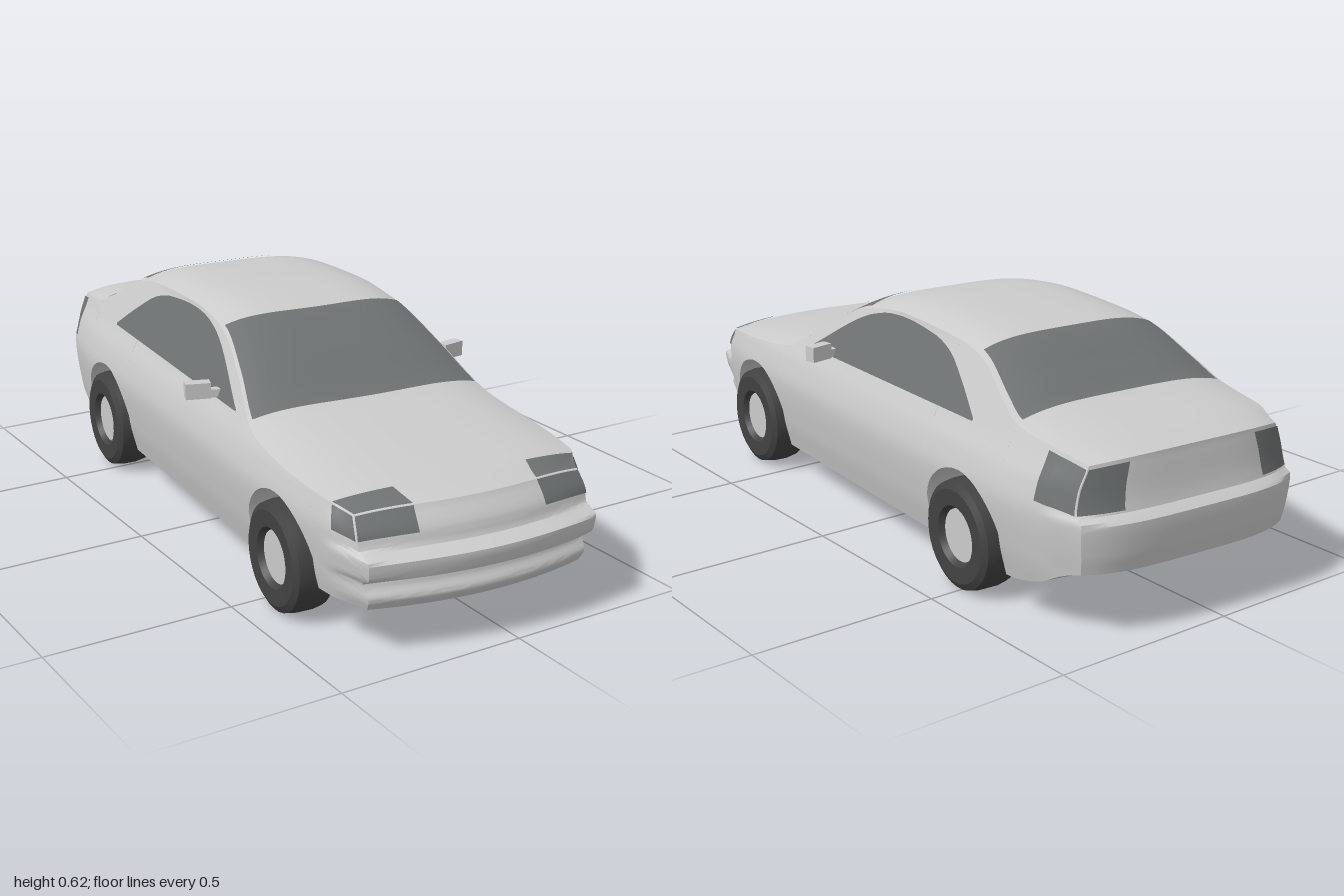
import * as THREE from 'three';
import { mergeGeometries, toCreasedNormals } from 'three/addons/utils/BufferGeometryUtils.js';

const { lerp, smoothstep } = THREE.MathUtils;
const paint = new THREE.MeshStandardMaterial({ color: 0xcccccc });
const glass = new THREE.MeshStandardMaterial({ color: 0x6e7272 });
const rubber = new THREE.MeshStandardMaterial({ color: 0x424242 });

// Smooth curve through [position, value] pairs, without overshoot
function curve(p) {
  const d = p.slice(1).map((q, i) => (q[1] - p[i][1]) / (q[0] - p[i][0]));
  const m = p.map((_, i) => {
    if (i === 0) return d[0];
    if (i === p.length - 1) return d[i - 1];
    return d[i - 1] * d[i] <= 0 ? 0 : (2 * d[i - 1] * d[i]) / (d[i - 1] + d[i]);
  });
  return (x) => {
    if (x <= p[0][0]) return p[0][1];
    if (x >= p[p.length - 1][0]) return p[p.length - 1][1];
    let i = 0;
    while (x > p[i + 1][0]) i++;
    const h = p[i + 1][0] - p[i][0], k = (x - p[i][0]) / h, k2 = k * k, k3 = k2 * k;
    return (2 * k3 - 3 * k2 + 1) * p[i][1] + (k3 - 2 * k2 + k) * h * m[i]
      + (3 * k2 - 2 * k3) * p[i + 1][1] + (k3 - k2) * h * m[i + 1];
  };
}

const FRONT = 0.92, REAR = -0.95;
// Centre line of bonnet, roof and boot
const topLine = curve([[-0.95, 0.437], [-0.88, 0.455], [-0.68, 0.49], [-0.6, 0.53], [-0.46, 0.598], [-0.35, 0.616],
  [-0.1, 0.624], [0, 0.616], [0.1, 0.597], [0.25, 0.525], [0.4, 0.437], [0.44, 0.425], [0.6, 0.405], [0.8, 0.38], [0.92, 0.352]]);
const floorLine = curve([[-0.95, 0.17], [-0.68, 0.09], [0.44, 0.09], [0.755, 0.12], [0.92, 0.12]]);
const crown = curve([[-0.95, 0.012], [-0.6, 0.028], [0.5, 0.03], [0.92, 0.012]]);
// Half width by height, and its taper along the length
const halfWidth = curve([[0.09, 0.345], [0.18, 0.366], [0.29, 0.378], [0.36, 0.364], [0.42, 0.337], [0.585, 0.265]]);
const taper = curve([[-0.95, 0.84], [-0.85, 0.93], [-0.6, 1], [0.6, 1], [0.8, 0.95], [0.92, 0.84]]);
// Profiles of the nose and tail by height
const nose = curve([[0.12, 0.955], [0.15, 0.972], [0.18, 0.958], [0.19, 0.957], [0.205, 0.99], [0.25, 0.998],
  [0.268, 0.955], [0.3, 0.945], [0.35, 0.91]]);
const tail = curve([[0.17, -0.97], [0.22, -0.982], [0.295, -0.99], [0.312, -0.965], [0.43, -0.945]]);
const edge = (z) => topLine(z) - crown(z);

// Point in the body: t across (-1..1), s up (0..1), z along, bot the lower limit
function bodyPoint(t, s, z, bot) {
  const x = t * halfWidth(lerp(bot, edge(z), s)) * taper(z);
  const y = lerp(bot, topLine(z) - crown(z) * t ** 4, s);
  const f = smoothstep(z, 0.78, FRONT), r = smoothstep(-z, 0.8, -REAR);
  return [x, y, z + f * (nose(y) - FRONT - 0.5 * x * x) + r * (tail(y) - REAR + 5 * x ** 4)];
}

// Grid whose outer face follows du x dv
function grid(nu, nv, fn) {
  const g = new THREE.PlaneGeometry(1, 1, nu, nv), p = g.attributes.position;
  for (let i = 0; i < p.count; i++) p.setXYZ(i, ...fn(p.getX(i) + 0.5, p.getY(i) + 0.5));
  g.computeVertexNormals();
  return g;
}

// Columns from front to rear, with the lower edge following the wheel arches
const FRONT_AXLE = 0.6, REAR_AXLE = -0.52, AXLE_Y = 0.142;
function bodyColumns() {
  const cols = [], R = 0.168, a0 = 0.34, reach = R * Math.cos(a0);
  const run = (a, b, n) => {
    for (let i = 0; i <= n; i++) cols.push([lerp(a, b, i / n), floorLine(lerp(a, b, i / n))]);
  };
  const arch = (zc) => {
    for (let i = 0; i <= 16; i++) {
      const a = lerp(a0, Math.PI - a0, i / 16);
      cols.push([zc + R * Math.cos(a), 0.145 + R * Math.sin(a)]);
    }
  };
  run(FRONT, FRONT_AXLE + reach, 12);
  arch(FRONT_AXLE);
  run(FRONT_AXLE - reach, REAR_AXLE + reach, 36);
  arch(REAR_AXLE);
  run(REAR_AXLE - reach, REAR, 14);
  return cols;
}

function bodyGeometry() {
  const cols = bodyColumns(), n = cols.length - 1, T = 24, S = 30;
  const at = (t, s, v) => bodyPoint(t, s, ...cols[Math.round(v * n)]);
  return toCreasedNormals(mergeGeometries([
    grid(T, n, (u, v) => at(2 * u - 1, 1, v)),
    grid(T, n, (u, v) => at(1 - 2 * u, 0, v)),
    grid(S, n, (u, v) => at(1, 1 - u, v)),
    grid(S, n, (u, v) => at(-1, u, v)),
    grid(T, S, (u, v) => at(2 * u - 1, v, 0)),
    grid(T, S, (u, v) => at(1 - 2 * u, v, 1)),
  ]), 0.6);
}

// Panels lying just proud of the body
const LIFT = 0.004;
const shift = ([x, y, z], dx, dy, dz) => [x + dx * LIFT, y + dy * LIFT, z + dz * LIFT];
const topPanel = (t0, t1, z0, z1, bow = 0) => grid(24, 16, (u, v) => {
  const t = lerp(t0, t1, u);
  return shift(bodyPoint(t, 1, lerp(z0, z1, v) + bow * (1 - t * t), 0.1), 0, 1, 0);
});
const sidePanel = (m, z0, z1, lo, hi, bot) => grid(12, 32, (u, v) => {
  const z = lerp(z0, z1, v);
  return shift(bodyPoint(m, lerp(lo(z), hi(z), m > 0 ? 1 - u : u), z, bot), m, 0, 0);
});
const endPanel = (dir, t0, t1, s0, s1) => grid(10, 12, (u, v) => {
  const z = dir > 0 ? FRONT : REAR;
  return shift(bodyPoint(dir > 0 ? lerp(t0, t1, u) : lerp(t1, t0, u), lerp(s0, s1, v), z, floorLine(z)), 0, 0, dir);
});

function add(parent, name, geometry, material, pos = [0, 0, 0]) {
  const mesh = new THREE.Mesh(geometry, material);
  mesh.name = name;
  mesh.position.set(...pos);
  parent.add(mesh);
  return mesh;
}

function makeWheel(name) {
  const wheel = new THREE.Group();
  wheel.name = name;
  const half = [[0.142, 0.02], [0.137, 0.046], [0.12, 0.056], [0.078, 0.054], [0.066, 0.036]];
  const profile = [...half.map(([r, h]) => [r, -h]).reverse(), ...half].map((p) => new THREE.Vector2(...p));
  const tyre = toCreasedNormals(new THREE.LatheGeometry(profile, 32), 0.5);
  add(wheel, 'tyre', tyre.rotateZ(Math.PI / 2), rubber);
  add(wheel, 'hub', new THREE.CylinderGeometry(0.068, 0.068, 0.078, 28).rotateZ(Math.PI / 2), paint);
  return wheel;
}

export function createModel() {
  const model = new THREE.Group();
  model.name = 'car';
  const car = new THREE.Group();
  car.name = 'saloon';
  car.rotation.y = -0.07;
  model.add(car);

  add(car, 'body', bodyGeometry(), paint);
  add(car, 'windscreen', topPanel(-0.97, 0.97, 0.385, 0.085, 0.02), glass);
  add(car, 'rearWindow', topPanel(-0.95, 0.95, -0.45, -0.68), glass);

  // Side window outline, as heights turned into body fractions
  const windowTop = curve([[-0.52, 0.437], [-0.43, 0.5], [-0.33, 0.557], [-0.25, 0.576], [-0.1, 0.586], [-0.03, 0.582], [0.06, 0.562], [0.31, 0.424]]);
  const toS = (y, z) => (y - 0.1) / (edge(z) - 0.1);
  const sill = (z) => toS(lerp(0.431, 0.42, (z + 0.52) / 0.83), z);

  for (const m of [1, -1]) {
    const side = m > 0 ? 'left' : 'right';
    const span = (a, b) => (m > 0 ? [a, b] : [-b, -a]);
    add(car, side + 'SideWindow', sidePanel(m, 0.31, -0.52, sill, (z) => toS(windowTop(z), z), 0.1), glass);

    // Lights wrap round the corners
    add(car, side + 'Headlight', mergeGeometries([
      endPanel(1, ...span(0.55, 1), 0.77, 1),
      topPanel(...span(0.55, 1), FRONT, 0.84),
      sidePanel(m, FRONT, 0.85, () => 0.77, () => 1, 0.12),
    ]), glass);
    add(car, side + 'TailLight', mergeGeometries([
      endPanel(-1, ...span(0.66, 1), 0.56, 0.97),
      sidePanel(m, -0.81, REAR, () => 0.56, () => 0.97, 0.17),
    ]), glass);

    // Door mirror
    const mirror = new THREE.Group();
    mirror.name = side + 'Mirror';
    mirror.position.set(m * 0.385, 0.444, 0.175);
    mirror.rotation.y = m * 0.25;
    add(mirror, 'mirrorHousing', new THREE.BoxGeometry(0.066, 0.042, 0.032), paint);
    add(mirror, 'mirrorStalk', new THREE.BoxGeometry(0.05, 0.022, 0.022), paint, [-m * 0.045, -0.01, 0]);
    car.add(mirror);

    for (const [end, z] of [['Front', FRONT_AXLE], ['Rear', REAR_AXLE]]) {
      const wheel = makeWheel(side + end + 'Wheel');
      wheel.position.set(m * 0.333, AXLE_Y, z);
      car.add(wheel);
    }
  }
  return model;
}
